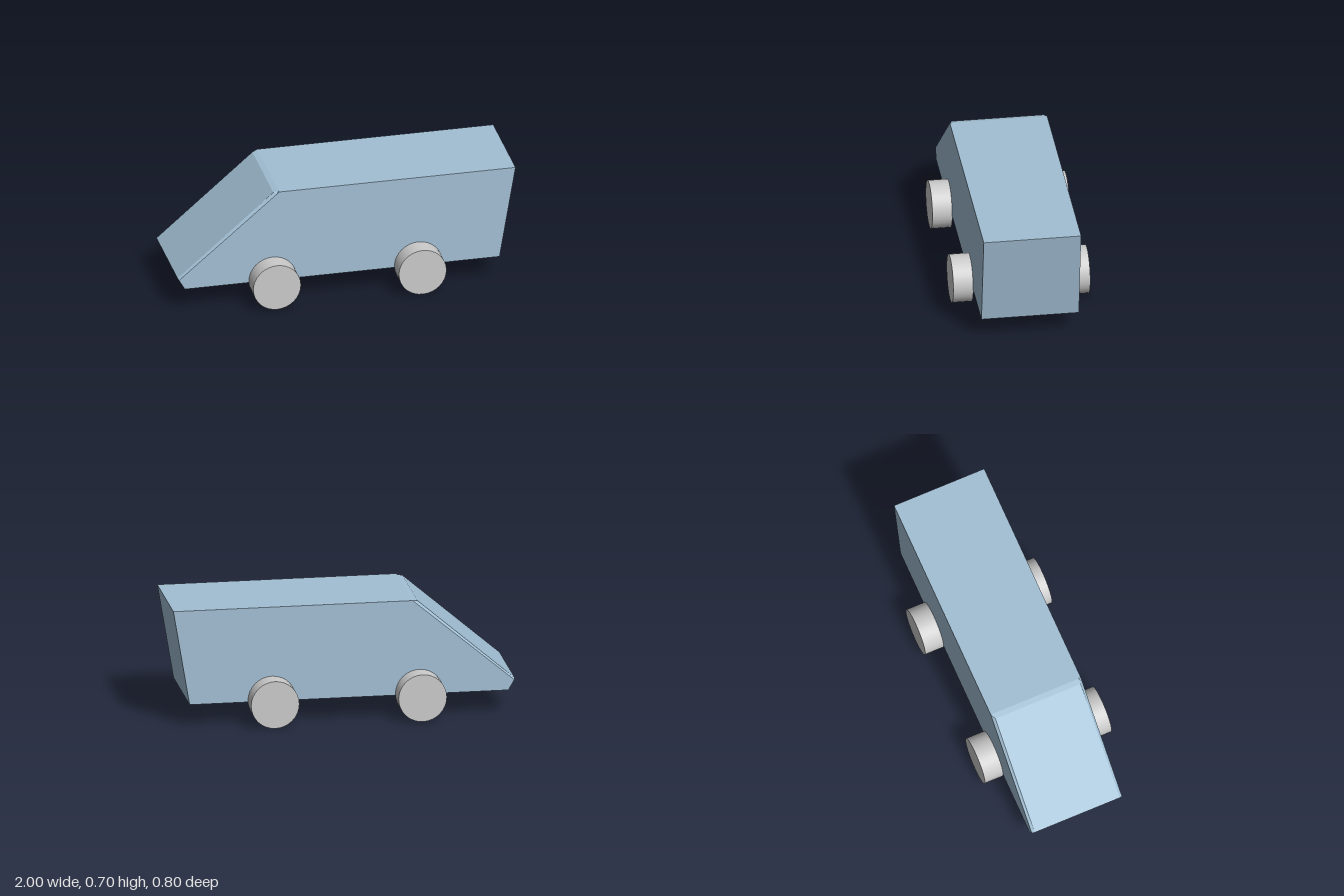
import * as THREE from 'three';

// Body skin: cross-sections (counter-clockwise from +z) joined along z, then capped.
function loftBody(sections) {
  const pos = [];
  const n = sections[0].pts.length;
  const vert = (k, i) => pos.push(...sections[k].pts[i % n], sections[k].z);
  for (let k = 0; k < sections.length - 1; k++) {
    for (let i = 0; i < n; i++) {
      vert(k, i); vert(k, i + 1); vert(k + 1, i + 1);
      vert(k, i); vert(k + 1, i + 1); vert(k + 1, i);
    }
  }
  const last = sections.length - 1;
  for (let i = 1; i < n - 1; i++) {
    vert(last, 0); vert(last, i); vert(last, i + 1);
    vert(0, 0); vert(0, i + 1); vert(0, i);
  }
  const geo = new THREE.BufferGeometry();
  geo.setAttribute('position', new THREE.Float32BufferAttribute(pos, 3));
  geo.computeVertexNormals();
  return geo;
}

export function createModel() {
  const model = new THREE.Group();
  model.name = 'van';
  const paint = new THREE.MeshStandardMaterial({ color: 0xa2bfd4, flatShading: true });
  const grey = new THREE.MeshStandardMaterial({ color: 0xcccccc });

  // Wedge-nosed body; the sloped front is bevelled at its sides and roof edge
  const base = [[-0.96, 0.133], [0.905, 0.133], [1, 0.697], [-0.4, 0.697]];
  const outer = [[-0.995, 0.193], ...base, [-0.415, 0.684]];
  const inner = [[-1, 0.2], ...base, [-0.432, 0.69]];
  const body = new THREE.Mesh(loftBody([
    { z: -0.284, pts: outer }, { z: -0.268, pts: inner },
    { z: 0.268, pts: inner }, { z: 0.284, pts: outer },
  ]), paint);
  body.name = 'body';
  model.add(body);

  // Four wheels standing just outside the body
  const wheelGeo = new THREE.CylinderGeometry(0.141, 0.141, 0.116, 32).rotateX(Math.PI / 2);
  for (const [end, x] of [['front', -0.44], ['rear', 0.423]]) {
    for (const side of [-1, 1]) {
      const wheel = new THREE.Mesh(wheelGeo, grey);
      wheel.name = end + 'Wheel';
      wheel.position.set(x, 0.141, side * 0.341);
      model.add(wheel);
    }
  }
  return model;
}
